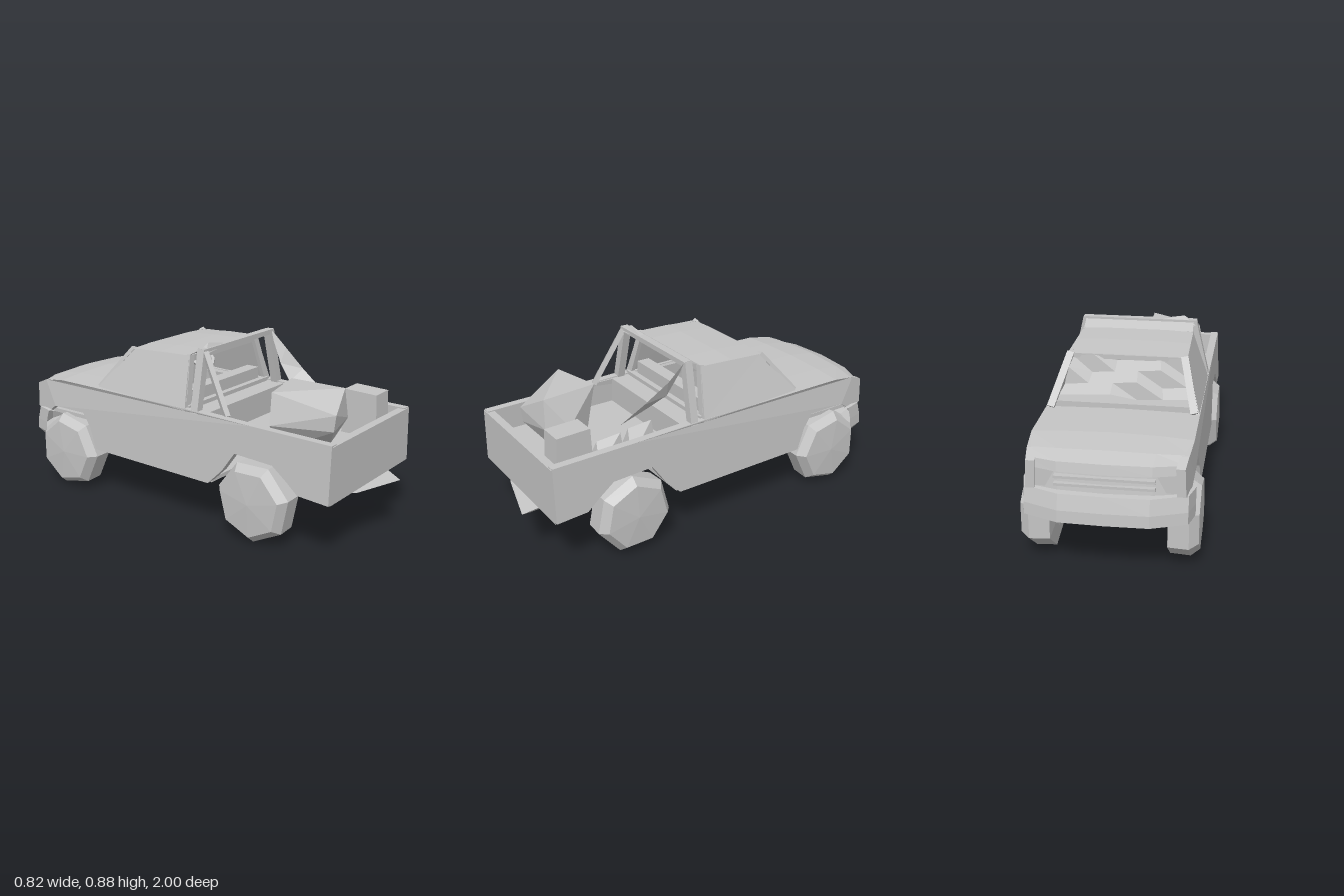
import * as THREE from 'three';
import { ConvexGeometry } from 'three/addons/geometries/ConvexGeometry.js';

export function createModel() {
  const truck = new THREE.Group();
  const grey = new THREE.MeshStandardMaterial({ color: 0xc4c4c4, flatShading: true, side: THREE.DoubleSide });
  grey.name = 'plain grey';

  const add = (name, geo) => {
    const m = new THREE.Mesh(geo, grey);
    m.name = name;
    truck.add(m);
    return m;
  };
  const box = (name, x0, x1, y0, y1, z0, z1) => {
    const m = add(name, new THREE.BoxGeometry(x1 - x0, y1 - y0, z1 - z0));
    m.position.set((x0 + x1) / 2, (y0 + y1) / 2, (z0 + z1) / 2);
  };
  // Faceted solid around a few points
  const hull = (name, points) => add(name, new ConvexGeometry(points.map(p => new THREE.Vector3(...p))));
  // Sheet stretched through rows of points
  const sheet = (name, rows) => {
    const n = rows[0].length, index = [];
    for (let r = 0; r < rows.length - 1; r++)
      for (let c = 0; c < n - 1; c++) {
        const a = r * n + c, b = a + n;
        index.push(a, b, a + 1, b, b + 1, a + 1);
      }
    const g = new THREE.BufferGeometry();
    g.setAttribute('position', new THREE.Float32BufferAttribute(rows.flat(2), 3));
    g.setIndex(index);
    g.computeVertexNormals();
    add(name, g);
  };
  // Straight bar between two points
  const bar = (name, a, b, w, d = w) => {
    const p = new THREE.Vector3(...a), q = new THREE.Vector3(...b);
    const m = add(name, new THREE.BoxGeometry(w, p.distanceTo(q), d));
    m.position.copy(p).add(q).multiplyScalar(0.5);
    m.quaternion.setFromUnitVectors(new THREE.Vector3(0, 1, 0), q.sub(p).normalize());
  };
  // Half width of the body at a height and length
  const halfWidth = (y, z) => y > 0.59
    ? 0.365 - (y - 0.59) * 0.34
    : 0.38 - (y - 0.25) * 0.045 - Math.max(0, -0.78 - z) * 0.15;
  // Side wall from a (z, y) outline, leaning with the body
  const sideWall = (name, outline, s, thick) => {
    const shape = new THREE.Shape(outline.map(([z, y]) => new THREE.Vector2(z, y)));
    const g = new THREE.ExtrudeGeometry(shape, { depth: thick, bevelEnabled: false });
    const p = g.attributes.position;
    for (let i = 0; i < p.count; i++) {
      const z = p.getX(i), y = p.getY(i);
      p.setXYZ(i, s * (halfWidth(y, z) - p.getZ(i)), y, z);
    }
    g.computeVertexNormals();
    add(name, g);
  };

  const lower = [[0.92, 0.3], [0.92, 0.575], [0.5, 0.58], [0.1, 0.59], [-0.45, 0.59], [-0.73, 0.59], [-0.86, 0.57],
    [-0.93, 0.54], [-0.93, 0.41], [-0.85, 0.39], [-0.78, 0.44], [-0.57, 0.44], [-0.52, 0.37], [-0.48, 0.26],
    [0.26, 0.25], [0.34, 0.33], [0.41, 0.43], [0.62, 0.42], [0.7, 0.36], [0.76, 0.31]];
  const cabSide = [[0.11, 0.58], [0.075, 0.83], [-0.28, 0.815], [-0.46, 0.6]];

  for (const s of [-1, 1]) {
    sideWall('bodySide', lower, s, 0.04);
    sideWall('cabSide', cabSide, s, 0.02);
    bar('rollBarLeg', [s * 0.345, 0.57, 0.165], [s * 0.275, 0.87, 0.155], 0.04, 0.04);
    bar('windscreenPillar', [s * 0.34, 0.6, -0.46], [s * 0.275, 0.815, -0.28], 0.035, 0.02);
    bar('rearWindowPillar', [s * 0.335, 0.58, 0.1], [s * 0.265, 0.83, 0.07], 0.035, 0.02);
    box('headlight', s > 0 ? 0.22 : -0.34, s > 0 ? 0.34 : -0.22, 0.42, 0.52, -0.92, -0.86);
  }
  // Rear braces, the left one bent inwards and twisted
  bar('rightBrace', [-0.28, 0.86, 0.17], [-0.32, 0.58, 0.33], 0.025);
  sheet('leftBrace', [
    [[0.28, 0.87, 0.17], [0.27, 0.82, 0.19]],
    [[0.28, 0.79, 0.26], [0.25, 0.71, 0.25]],
    [[0.26, 0.7, 0.38], [0.2, 0.64, 0.34]],
    [[0.24, 0.62, 0.5], [0.17, 0.58, 0.46]],
  ]);

  // Roof, window headers and roll bar
  sheet('roof', [[0.075, 0.83], [-0.1, 0.826], [-0.285, 0.812]].map(([z, y]) =>
    [-0.283, -0.15, 0.15, 0.283].map((x, i) => [x, y + (i % 3 ? 0.006 : 0), z])));
  sheet('roofLink', [[0.075, 0.832], [0.14, 0.866]].map(([z, y]) => [[-0.28, y, z], [0.28, y, z]]));
  box('rearWindowHeader', -0.27, 0.27, 0.8, 0.83, 0.06, 0.08);
  box('windscreenHeader', -0.27, 0.27, 0.79, 0.813, -0.285, -0.27);
  bar('rollBarTop', [-0.29, 0.862, 0.155], [0.285, 0.862, 0.155], 0.025, 0.04);
  hull('rollBarCorner', [[-0.29, 0.85, 0.13], [-0.29, 0.85, 0.18], [-0.23, 0.895, 0.15],
    [-0.1, 0.87, 0.14], [-0.1, 0.87, 0.17]]);
  // Crumpled windscreen hanging from the header
  sheet('windscreen', [0, 1, 2, 3].map(r => [-1, -0.6, -0.2, 0.2, 0.6, 1].map((k, c) => {
    const dent = ((r * 3 + c * 5) % 4 - 1) * 0.012;
    return [k * (0.265 + r * 0.015), 0.8 - r * 0.05 - dent, -0.28 - r * 0.043 + dent];
  })));

  // Bonnet with a rounded nose in plan
  const xs = [-1, -0.6, 0, 0.6, 1];
  const bonnetRow = (z, bow, w, edge, mid) =>
    xs.map(k => [k * w, edge + (mid - edge) * (1 - k * k), z - bow * (1 - Math.abs(k) ** 3)]);
  sheet('bonnet', [
    bonnetRow(-0.44, 0.02, 0.365, 0.595, 0.61),
    bonnetRow(-0.73, 0, 0.365, 0.59, 0.605),
    bonnetRow(-0.85, 0.03, 0.355, 0.57, 0.585),
    bonnetRow(-0.9, 0.06, 0.345, 0.545, 0.555),
    bonnetRow(-0.91, 0.06, 0.345, 0.505, 0.51),
  ]);
  // Recessed grille
  sheet('grille', [[0.53, -0.88], [0.4, -0.9]].map(([y, z]) => bonnetRow(z, 0.05, 0.345, y, y)));
  for (const y of [0.44, 0.475]) box('grilleBar', -0.22, 0.22, y, y + 0.012, -0.955, -0.91);

  // Wraparound front bumper
  const bumperRow = (y, push) => [[-0.385, -0.83], [-0.36, -0.92], [-0.2, -0.98], [0, -0.985], [0.2, -0.98],
    [0.36, -0.92], [0.385, -0.83]].map(([x, z]) => [x, y, z - push]);
  sheet('frontBumper', [bumperRow(0.415, -0.06), bumperRow(0.41, -0.01), bumperRow(0.34, 0.01),
    bumperRow(0.285, 0.015), bumperRow(0.265, -0.03), bumperRow(0.3, -0.1)]);

  // Floors and cross walls
  box('cabFloor', -0.36, 0.36, 0.25, 0.27, -0.48, 0.27);
  box('engineTray', -0.33, 0.33, 0.39, 0.41, -0.88, -0.48);
  box('firewall', -0.34, 0.34, 0.26, 0.59, -0.48, -0.46);
  box('cabBackWall', -0.34, 0.34, 0.26, 0.6, 0.09, 0.12);
  box('bedFrontWall', -0.34, 0.34, 0.44, 0.575, 0.2, 0.22);
  box('bedFrontLedge', -0.34, 0.34, 0.565, 0.58, 0.1, 0.22);
  box('bedFloor', -0.34, 0.34, 0.43, 0.45, 0.1, 0.9);
  sheet('tailgate', [[0.3, 0.925], [0.57, 0.925], [0.57, 0.885], [0.3, 0.885]].map(([y, z]) =>
    [-1, 1].map(s => [s * (halfWidth(y, 0.9) - 0.002), y, z])));

  // Bent rear step
  hull('rearStep', [[-0.16, 0.29, 0.9], [0.2, 0.3, 0.9], [0.17, 0.27, 0.995], [0.16, 0.262, 0.95],
    [-0.12, 0.28, 0.92], [0.02, 0.235, 0.74], [0.2, 0.3, 0.72], [-0.18, 0.29, 0.74]]);

  // Cab interior
  box('dashboard', -0.33, 0.33, 0.5, 0.625, -0.44, -0.32);
  box('seatCushion', -0.31, 0.31, 0.34, 0.44, -0.2, 0.08);
  box('seatBack', -0.31, 0.31, 0.42, 0.65, 0.0, 0.07);
  const rim = add('steeringWheel', new THREE.TorusGeometry(0.08, 0.012, 5, 10));
  rim.position.set(0.15, 0.7, -0.2);
  rim.rotation.x = -1.0;
  bar('steeringColumn', [0.15, 0.7, -0.2], [0.15, 0.6, -0.34], 0.03);

  // Cargo
  hull('largeCrate', [[-0.28, 0.73, 0.55], [-0.02, 0.73, 0.49], [0, 0.725, 0.77],
    [-0.16, 0.64, 0.82], [-0.31, 0.58, 0.56], [0.06, 0.58, 0.67], [0.02, 0.58, 0.78], [-0.16, 0.56, 0.81],
    [-0.2, 0.45, 0.58], [0, 0.45, 0.56], [-0.03, 0.45, 0.72]]);
  hull('smallCrate', [0.16, 0.28].flatMap(x => [[x, 0.45, 0.67], [x, 0.45, 0.86], [x, 0.67, 0.68], [x, 0.665, 0.85]]));
  const sack = (name, z, top) => hull(name, [[0.16, 0.45, z], [0.28, 0.45, z], [0.17, 0.45, z + 0.14],
    [0.28, 0.45, z + 0.14], [0.27, top, z + 0.02], [0.22, top - 0.04, z + 0.12]]);
  sack('frontSack', 0.33, 0.62);
  sack('middleSack', 0.5, 0.6);

  // Coarse seven-sided wheels with shallow hubs
  const wheelProfile = [[0, 0.265], [0.1, 0.255], [0.195, 0.265], [0.2, 0.36], [0.165, 0.402], [0, 0.412]]
    .map(([r, x]) => new THREE.Vector2(r, x));
  for (const [z, turn] of [[0.51, 0.25], [-0.69, 0]])
    for (const s of [-1, 1]) {
      const w = add('wheel', new THREE.LatheGeometry(wheelProfile, 7, turn));
      w.rotation.z = -s * Math.PI / 2;
      w.position.set(0, 0.21, z);
    }

  // Axles, the rear one a heavy sagging housing
  bar('frontAxle', [-0.28, 0.23, -0.69], [0.28, 0.23, -0.69], 0.07, 0.08);
  sheet('rearAxle', [-0.28, 0, 0.28].map(x => {
    const sag = x ? 0 : 0.015;
    return [[0.29, 0.44], [0.18, 0.42], [0.17, 0.58], [0.29, 0.6], [0.29, 0.44]].map(([y, z]) => [x, y - sag, z]);
  }));

  return truck;
}
